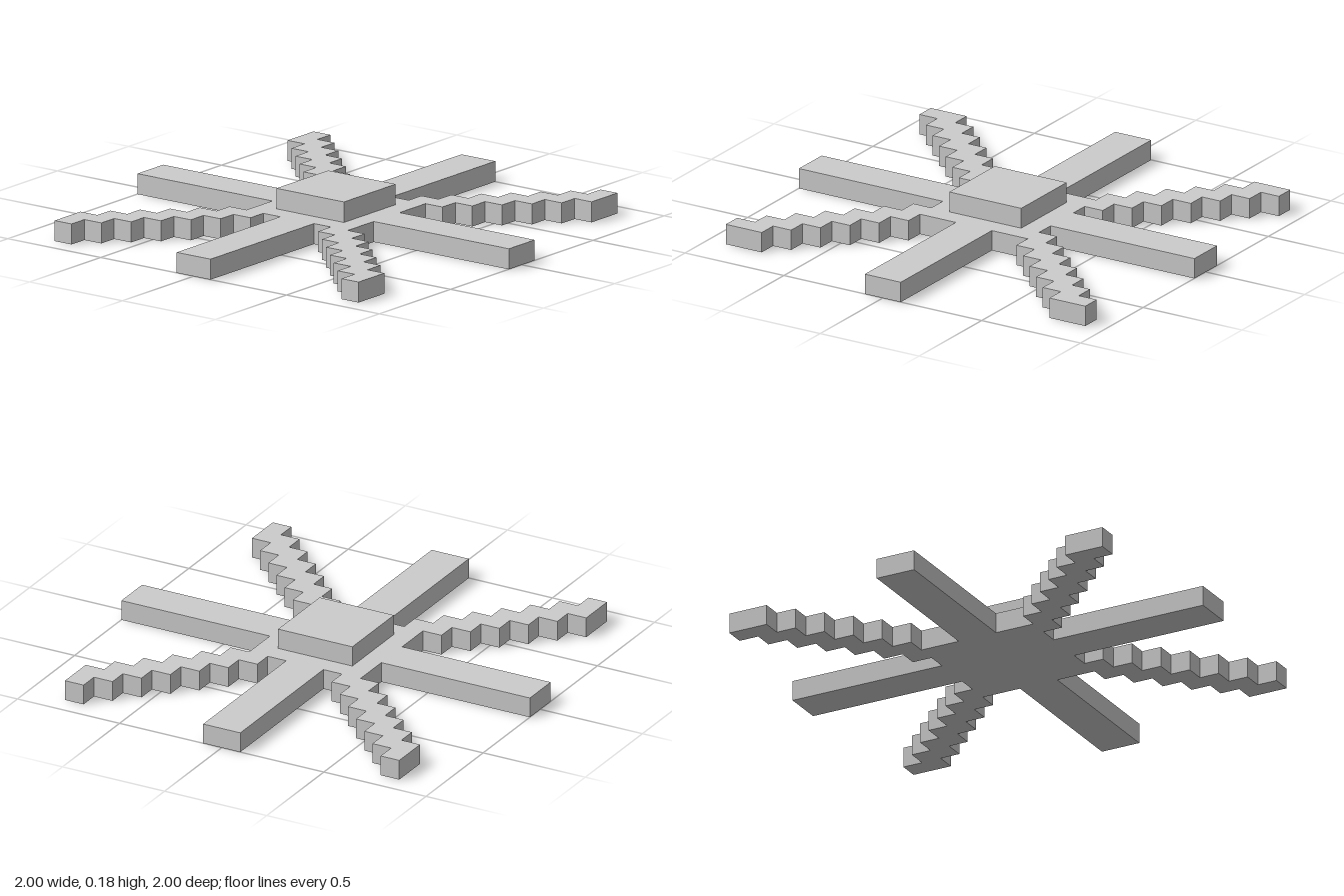
import * as THREE from 'three';

const U = 1 / 11; // block unit: the whole star is 22 units wide

// Outline of one quarter, from the side arm round to the front arm, in units
function quarterOutline() {
  const pts = [[11, 1], [3, 1], [3, 2]];
  // inner edge of the stepped diagonal arm, going out
  for (let k = 2; k <= 8; k++) pts.push([k + 2, k], [k + 2, k + 1]);
  // outer edge, coming back to the hub
  for (let k = 8; k >= 3; k--) pts.push([k, k + 1], [k, k]);
  pts.push([1, 3], [1, 11]);
  return pts;
}

export function createModel() {
  const group = new THREE.Group();
  group.name = 'eightArmedStar';
  const material = new THREE.MeshStandardMaterial({ color: 0xcccccc, flatShading: true });

  // Flat star: four straight arms and four stepped diagonal arms round a square hub
  const quarter = quarterOutline();
  const back = [...quarter].reverse();
  const mirror = (pts, sx, sy) => pts.map(([x, y]) => new THREE.Vector2(x * sx * U, y * sy * U));
  const outline = [
    ...mirror(quarter, 1, 1),
    ...mirror(back, -1, 1),
    ...mirror(quarter, -1, -1),
    ...mirror(back, 1, -1),
  ];
  const starGeometry = new THREE.ExtrudeGeometry(new THREE.Shape(outline), { depth: U, bevelEnabled: false });
  starGeometry.rotateX(-Math.PI / 2);
  const star = new THREE.Mesh(starGeometry, material);
  star.name = 'starPlate';
  group.add(star);

  // Raised square cap in the middle
  const cap = new THREE.Mesh(new THREE.BoxGeometry(4 * U, U, 4 * U), material);
  cap.name = 'centreCap';
  cap.position.y = 1.5 * U;
  group.add(cap);

  return group;
}
